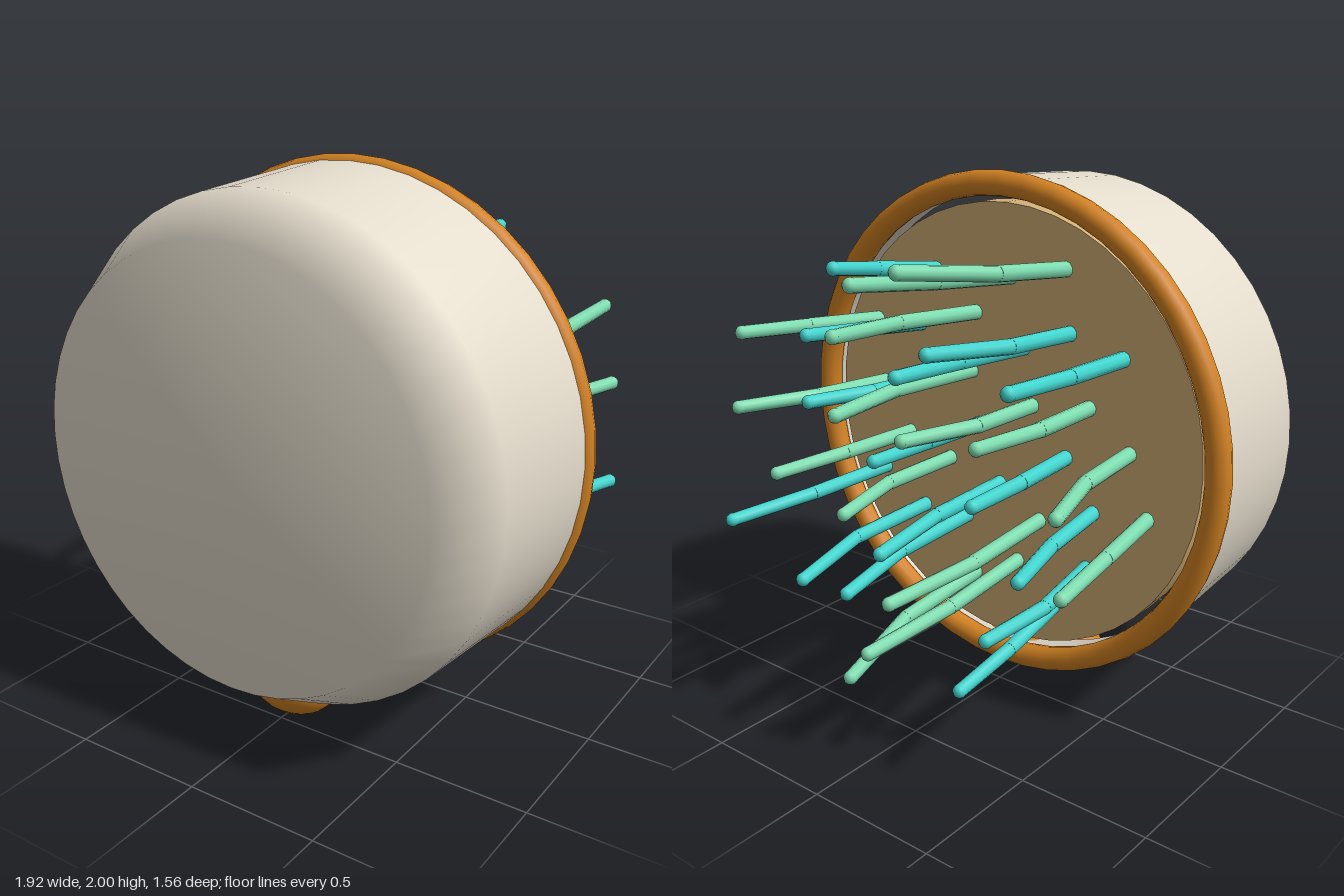
import * as THREE from 'three';

const mat = (name, color) => {
  const m = new THREE.MeshStandardMaterial({ color });
  m.name = name;
  return m;
};

export function createModel() {
  const cream = mat('cream', 0xe4dccc);
  const orange = mat('orange', 0xd38222);
  const soilTan = mat('soil tan', 0xd2b076);
  const mint = mat('mint green', 0x7edcb0);
  const teal = mat('teal', 0x42d4ce);

  const model = new THREE.Group();
  model.name = 'grassPot';
  // The pot lies on its side: its axis is z and its mouth faces -z.
  const pot = new THREE.Group();
  pot.name = 'pot';
  pot.position.y = 1.042;
  model.add(pot);

  const add = (parent, name, geometry, material) => {
    const mesh = new THREE.Mesh(geometry, material);
    mesh.name = name;
    parent.add(mesh);
    return mesh;
  };

  // Bowl: inner wall, lip, outer wall, bevel and floor in one smooth profile
  const profile = [[0.885, 0.14], [0.885, 0.03], [0.94, 0.03], [0.907, 0.55], [0.775, 0.776], [0, 0.778]];
  add(pot, 'bowl', new THREE.LatheGeometry(
    profile.map(([r, z]) => new THREE.Vector2(r, z)), 48).rotateX(Math.PI / 2), cream);

  // Rim and soil
  add(pot, 'rim', new THREE.TorusGeometry(0.912, 0.046, 12, 48), orange).position.z = 0.015;
  add(pot, 'soil', new THREE.CylinderGeometry(0.845, 0.845, 0.1, 48).rotateX(Math.PI / 2), soilTan)
    .position.z = 0.08;

  // Grass blades in a golden-angle spiral, each bent at the middle
  const up = new THREE.Vector3(0, 1, 0);
  const segment = (parent, a, b, r0, r1, material) => {
    const d = b.clone().sub(a);
    const mesh = add(parent, 'bladeSegment', new THREE.CylinderGeometry(r1, r0, d.length(), 10), material);
    mesh.position.copy(a).addScaledVector(d, 0.5);
    mesh.quaternion.setFromUnitVectors(up, d.normalize());
  };
  const ball = (parent, name, p, r, material) =>
    add(parent, name, new THREE.SphereGeometry(r, 10, 8), material).position.copy(p);

  // Sideways sway of each tip, in hundredths
  const sway = [0, 8, -5, -10, 2, -9, -2, 6, 3, 5, -7, -8, -3, 1, 8,
    5, -3, -6, -10, 2, 8, 5, 2, -10, -8, 1, 3, 10, 3, -3];
  const grass = new THREE.Group();
  grass.name = 'grass';
  pot.add(grass);
  sway.forEach((s, i) => {
    const angle = i * 2.4;
    const r = 0.152 * Math.sqrt(i + 0.8);
    const tipZ = -(0.532 + 0.075 * (i % 4));
    const at = (k, z, dx = 0) =>
      new THREE.Vector3(Math.cos(angle) * r * k + dx, Math.sin(angle) * r * k, z);
    const base = at(0.86, 0.05), knee = at(0.93, tipZ * 0.5), tip = at(1, tipZ, s / 100);
    const material = i % 2 ? mint : teal;
    const blade = new THREE.Group();
    blade.name = 'blade';
    grass.add(blade);
    segment(blade, base, knee, 0.029, 0.028, material);
    segment(blade, knee, tip, 0.027, 0.025, material);
    ball(blade, 'bladeKnee', knee, 0.027, material);
    ball(blade, 'bladeTip', tip, 0.026, material);
  });

  // Paw print on the underside: one pad and four toes
  const paw = new THREE.Group();
  paw.name = 'paw';
  model.add(paw);
  const pad = (name, x, y, z, sx, sy, sz) => {
    const mesh = add(paw, name, new THREE.SphereGeometry(1, 24, 16), orange);
    mesh.position.set(x, y, z);
    mesh.scale.set(sx, sy, sz);
  };
  pad('mainPad', 0, 0.14, 0.42, 0.185, 0.14, 0.13);
  for (const side of [-1, 1]) {
    pad('outerToe', side * 0.223, 0.128, 0.245, 0.077, 0.076, 0.085);
    pad('innerToe', side * 0.09, 0.112, 0.115, 0.068, 0.06, 0.075);
  }
  return model;
}
